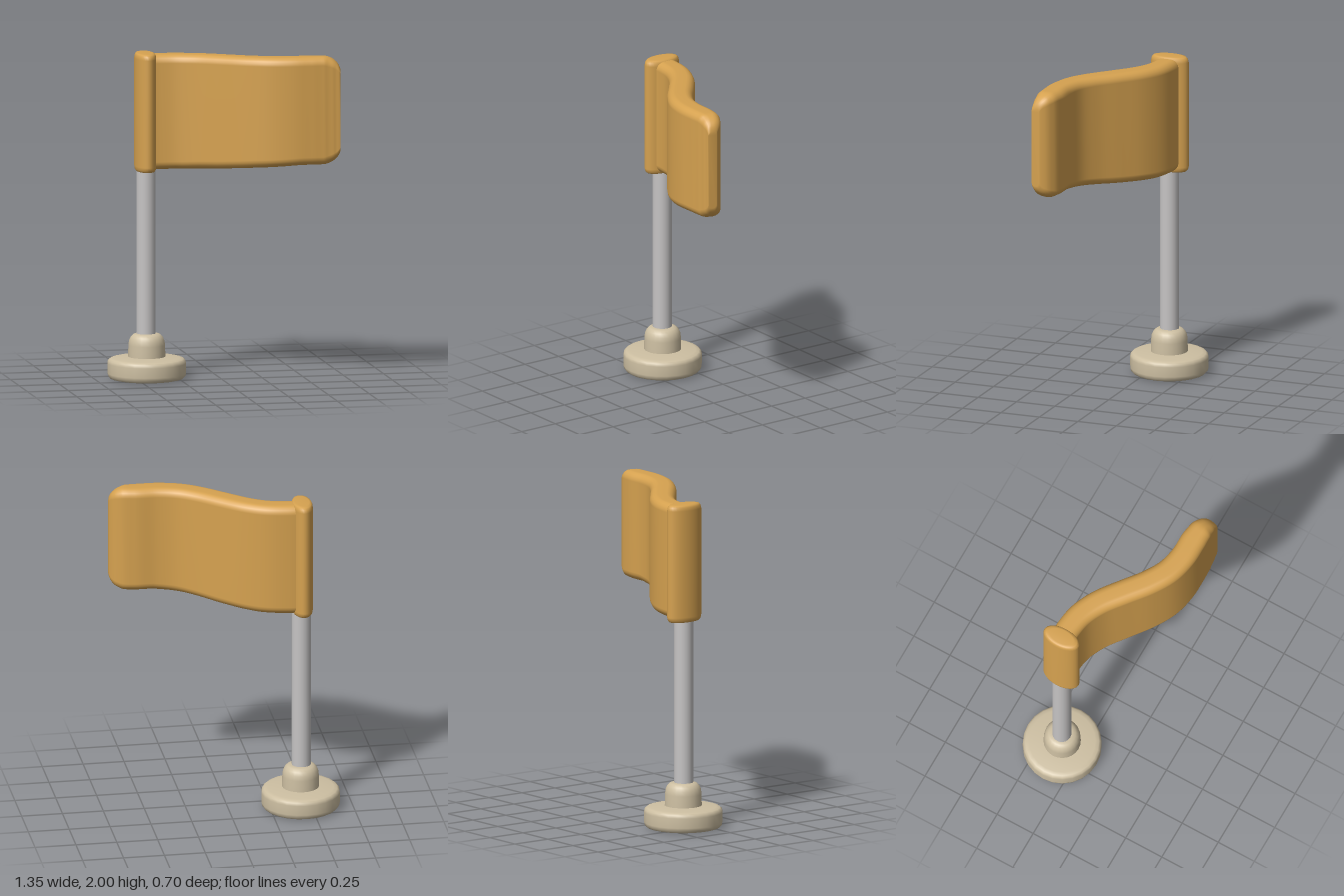
import * as THREE from 'three';

const mat = (name, color, extra = {}) => {
  const m = new THREE.MeshStandardMaterial({ color });
  m.name = name;
  return Object.assign(m, extra);
};

// Lathe from [radius, y] pairs, bottom to top
function lathe(name, points, material, sides = 24) {
  const geo = new THREE.LatheGeometry(points.map(([r, y]) => new THREE.Vector2(r, y)), sides);
  const mesh = new THREE.Mesh(geo, material);
  mesh.name = name;
  return mesh;
}

// Piecewise linear lookup in [x, value] pairs
function lookup(table, x) {
  for (let i = 1; i < table.length; i++) {
    const [x0, a] = table[i - 1], [x1, b] = table[i];
    if (x <= x1) return a + (b - a) * Math.max(0, (x - x0) / (x1 - x0));
  }
  return table[table.length - 1][1];
}

// Thick waving cloth: rounded upright cross-sections swept along an S-curve
function clothGeometry() {
  const path = new THREE.CatmullRomCurve3([
    [-0.43, -0.117], [-0.36, -0.115], [-0.25, -0.095], [-0.13, -0.038], [0, 0.06],
    [0.13, 0.163], [0.25, 0.232], [0.38, 0.263], [0.5, 0.266], [0.58, 0.274], [0.635, 0.292], [0.668, 0.311],
  ].map(([x, z]) => new THREE.Vector3(x, 0, z)));
  const half = [[-0.43, 0.075], [0, 0.078], [0.5, 0.079], [0.58, 0.071], [0.635, 0.053], [0.66, 0.038], [0.668, 0.03]];
  const top = [[-0.43, 1.985], [-0.2, 1.987], [0.2, 1.998], [0.4, 2]];
  const bottom = [[-0.43, 1.283], [-0.2, 1.288], [0, 1.303], [0.2, 1.325], [0.42, 1.342], [0.67, 1.342]];
  const steps = 56, arc = 5, ring = 4 * (arc + 1);
  const pos = [], index = [];
  for (let i = 0; i <= steps; i++) {
    const t = i / steps;
    const c = path.getPoint(t), d = path.getTangent(t);
    const w = lookup(half, c.x);
    // Free corners follow a quarter circle
    const k = Math.min(1, Math.max(0, (c.x - 0.565) / 0.105));
    const inset = 0.105 * (1 - Math.sqrt(1 - k * k));
    const y1 = lookup(top, c.x) - inset, y0 = lookup(bottom, c.x) + inset;
    const r = Math.min(0.05, w * 0.8);
    const across = Math.min(1, 1 - Math.max(0, k - 0.5) * 1.3);
    const nx = -d.z * across, nz = d.x;
    for (let q = 0; q < 4; q++) {
      const su = q === 0 || q === 3 ? 1 : -1, sv = q < 2 ? 1 : -1;
      for (let j = 0; j <= arc; j++) {
        const a = (q + j / arc) * Math.PI / 2;
        const u = su * (w - r) + r * Math.cos(a);
        const v = (sv > 0 ? y1 - r : y0 + r) + r * Math.sin(a);
        pos.push(c.x + nx * u, v, c.z + nz * u);
      }
    }
  }
  for (let i = 0; i < steps; i++) {
    for (let j = 0; j < ring; j++) {
      const a = i * ring + j, b = i * ring + (j + 1) % ring;
      index.push(a, a + ring, b, b, a + ring, b + ring);
    }
  }
  // End caps
  for (const s of [0, steps]) {
    const o = s * ring;
    for (let j = 1; j < ring - 1; j++) {
      if (s) index.push(o, o + j + 1, o + j);
      else index.push(o, o + j, o + j + 1);
    }
  }
  const geo = new THREE.BufferGeometry();
  geo.setAttribute('position', new THREE.Float32BufferAttribute(pos, 3));
  geo.setIndex(index);
  geo.computeVertexNormals();
  return geo;
}

export function createModel() {
  const group = new THREE.Group();
  const gold = mat('ochre cloth', 0xd6a250, { side: THREE.DoubleSide });
  const grey = mat('grey metal', 0xc6c4c4);
  const beige = mat('beige base', 0xcdbfa2);

  // Everything on the pole shares one axis
  const stand = new THREE.Group();
  stand.name = 'stand';
  stand.position.set(-0.437, 0, -0.117);
  group.add(stand);

  // Round foot
  stand.add(lathe('foot', [
    [0, 0.004], [0.2, 0.004], [0.222, 0.009], [0.234, 0.022], [0.238, 0.04], [0.238, 0.1],
    [0.234, 0.117], [0.222, 0.127], [0.2, 0.132], [0.11, 0.14], [0, 0.14],
  ], beige));

  // Collar around the pole
  stand.add(lathe('collar', [
    [0.113, 0.13], [0.111, 0.21], [0.107, 0.238], [0.097, 0.26], [0.082, 0.275], [0.062, 0.281], [0, 0.281],
  ], beige));

  // Pole
  const pole = new THREE.Mesh(new THREE.CylinderGeometry(0.058, 0.058, 1.75, 20), grey);
  pole.name = 'pole';
  pole.position.y = 1.105;
  pole.position.x = -0.004;
  stand.add(pole);

  // Oval sleeve wrapped around the pole top
  const sleeve = lathe('sleeve', [
    [0, 1.27], [0.08, 1.27], [0.103, 1.274], [0.115, 1.285], [0.12, 1.305],
    [0.12, 1.96], [0.115, 1.98], [0.103, 1.991], [0.08, 1.995], [0, 1.995],
  ], gold, 32);
  sleeve.scale.x = 0.53;
  sleeve.position.x = -0.009;
  stand.add(sleeve);

  // Cloth
  const cloth = new THREE.Mesh(clothGeometry(), gold);
  cloth.name = 'cloth';
  group.add(cloth);
  return group;
}
